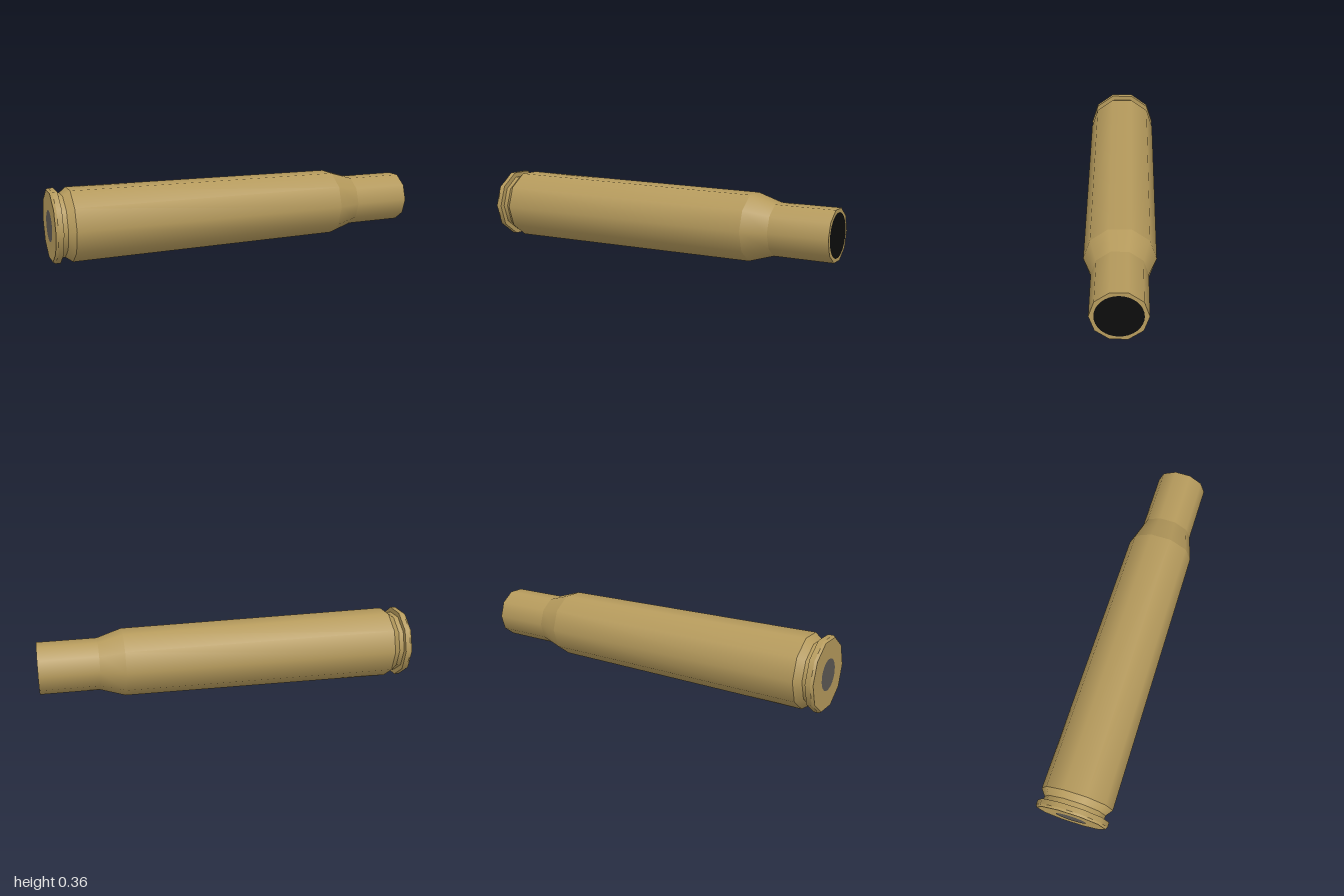
import * as THREE from 'three';

const SIDES = 10;

export function createModel() {
  const model = new THREE.Group();
  model.name = 'emptyCartridgeCase';

  const material = (name, color) => {
    const m = new THREE.MeshStandardMaterial({ color });
    m.name = name;
    return m;
  };
  const brass = material('brass', 0xb59a5c);
  const black = material('mouth black', 0x0d0d0d);
  const grey = material('primer grey', 0x5c5854);

  const axisY = 0.19 * Math.cos(Math.PI / SIDES);
  const add = (name, geometry, mat) => {
    const mesh = new THREE.Mesh(geometry, mat);
    mesh.name = name;
    mesh.position.y = axisY;
    model.add(mesh);
  };

  // Ring of the case wall between two stations along x, sharp at both ends
  const wall = (name, x0, r0, x1, r1) => {
    const g = new THREE.CylinderGeometry(r1, r0, x1 - x0, SIDES, 1, true);
    g.rotateZ(-Math.PI / 2).translate((x0 + x1) / 2, 0, 0);
    add(name, g, brass);
  };

  // Flat disc facing +x (dir 1) or -x (dir -1)
  const disc = (name, x, r, sides, dir, mat) => {
    const g = new THREE.CircleGeometry(r, sides);
    g.rotateY(dir * Math.PI / 2).translate(x, 0, 0);
    add(name, g, mat);
  };

  // Case wall from head to mouth
  wall('rimChamfer', -1, 0.182, -0.988, 0.19);
  wall('rim', -0.988, 0.19, -0.962, 0.19);
  wall('extractorGroove', -0.962, 0.163, -0.936, 0.163);
  wall('grooveSlope', -0.936, 0.163, -0.9, 0.19);
  wall('body', -0.9, 0.19, 0.56, 0.178);
  wall('shoulder', 0.56, 0.178, 0.69, 0.137);
  wall('neck', 0.69, 0.137, 1, 0.136);

  // Flat faces, with the primer and the dark opening laid just proud
  disc('rimFront', -0.962, 0.19, SIDES, 1, brass);
  disc('head', -0.999, 0.182, SIDES, -1, brass);
  disc('primer', -1, 0.08, 24, -1, grey);
  disc('mouthRim', 0.999, 0.136, SIDES, 1, brass);
  disc('mouthOpening', 1, 0.113, 32, 1, black);

  return model;
}
